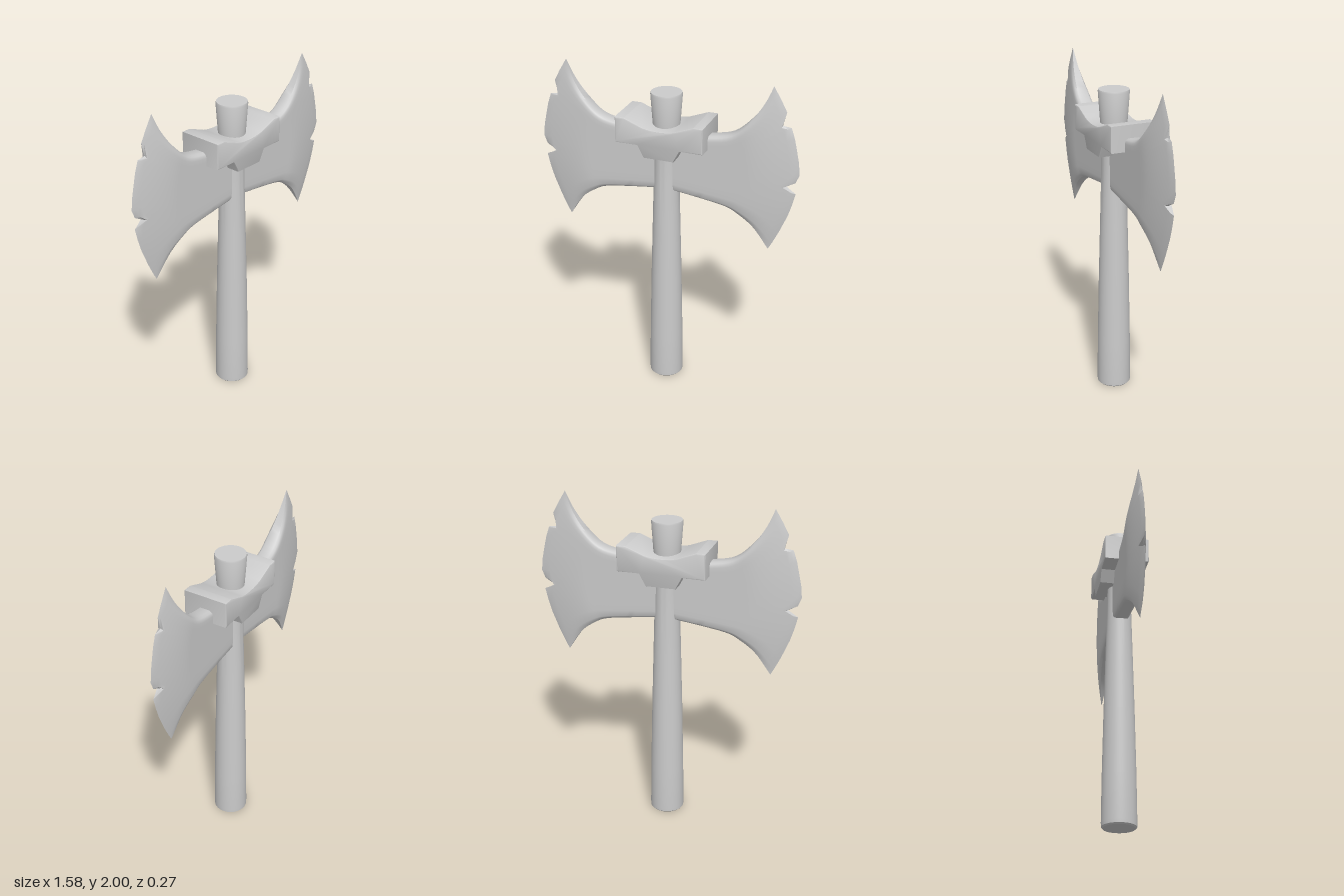
import * as THREE from 'three';
import { toCreasedNormals } from 'three/addons/utils/BufferGeometryUtils.js';

const material = new THREE.MeshStandardMaterial({ color: 0xcccccc, side: THREE.DoubleSide });

function part(name, geometry) {
  const mesh = new THREE.Mesh(geometry, material);
  mesh.name = name;
  return mesh;
}

const curve = (pts) => new THREE.SplineCurve(pts.map(([x, y]) => new THREE.Vector2(x, y)));

// Tapered round shaft, narrowest under the collar and flared at the top
function handleGeometry() {
  const profile = [
    [0, 0], [0.094, 0], [0.102, 0.008], [0.103, 0.03], [0.1, 0.3], [0.092, 0.7], [0.083, 1.05],
    [0.075, 1.35], [0.073, 1.55], [0.079, 1.69], [0.092, 1.875], [0.089, 1.885], [0, 1.885],
  ].map(([r, y]) => new THREE.Vector2(r, y));
  return toCreasedNormals(new THREE.LatheGeometry(profile, 48), 0.6);
}

// Bracket with a dished top and a stepped underside
function collarGeometry() {
  const bevel = 0.008;
  const s = new THREE.Shape();
  s.moveTo(-0.257, 1.598);
  s.lineTo(-0.123, 1.598);
  s.lineTo(-0.085, 1.526);
  s.lineTo(0.085, 1.526);
  s.lineTo(0.123, 1.598);
  s.lineTo(0.257, 1.598);
  s.lineTo(0.257, 1.737);
  s.lineTo(0.21, 1.737);
  s.lineTo(0.1, 1.695);
  s.quadraticCurveTo(0, 1.67, -0.1, 1.695);
  s.lineTo(-0.21, 1.737);
  s.lineTo(-0.257, 1.737);
  s.closePath();
  const depth = 0.27 - 2 * bevel;
  const g = new THREE.ExtrudeGeometry(s, {
    depth, bevelSize: bevel, bevelThickness: bevel, bevelSegments: 2, curveSegments: 8,
  });
  g.translate(0, 0, -depth / 2);
  return toCreasedNormals(g, 0.5);
}

// Blade: closed sections swept from the shaft out to the notched cutting edge
function bladeGeometry() {
  const bottom = curve([[0, 1.3], [0.08, 1.29], [0.22, 1.272], [0.36, 1.25], [0.435, 1.22], [0.54, 1.14], [0.63, 1.005]]);
  const top = curve([[0, 1.66], [0.14, 1.66], [0.27, 1.668], [0.4, 1.7], [0.5, 1.79], [0.57, 1.89], [0.62, 2]]);
  const edge = [
    [0.63, 1.005], [0.641, 1.025], [0.652, 1.045], [0.69, 1.125], [0.735, 1.235], [0.758, 1.31], [0.775, 1.383],
    [0.705, 1.413], [0.77, 1.45], [0.79, 1.5], [0.783, 1.57], [0.768, 1.64], [0.752, 1.71], [0.73, 1.775],
    [0.68, 1.782], [0.70, 1.86], [0.665, 1.925], [0.644, 1.96], [0.632, 1.98], [0.62, 2],
  ];
  const R = 0.84, cx = -0.05, cy = 1.5, columns = 28, ring = 2 * edge.length;
  const positions = [], index = [];

  for (let i = 0; i <= columns; i++) {
    const u = i / columns, b = bottom.getPoint(u), t = top.getPoint(u);
    const row = edge.map(([ex, ey]) => {
      const v = THREE.MathUtils.clamp((ey - 1.005) / 0.995, 0, 1);
      const arcX = cx + Math.sqrt(R * R - (ey - cy) ** 2);
      const chordX = 0.63 - 0.01 * v;
      const x = b.x + (t.x - b.x) * v + (arcX - chordX) * u ** 3 + (ex - arcX) * u ** 10;
      const y = b.y + (t.y - b.y) * v;
      // Full thickness inside, ground to nothing at the edge, rounded at the rims
      const d = THREE.MathUtils.clamp((R - Math.hypot(x - cx, y - cy)) / 0.29, 0, 1);
      const rim = 0.6 + 0.4 * Math.sqrt(Math.min(1, v / 0.05, (1 - v) / 0.05));
      const z = i === columns ? 0 : 0.05 * (1 - (1 - d) ** 1.6) * rim;
      return [x, y, z];
    });
    row.forEach((p) => positions.push(...p));
    row.reverse().forEach(([x, y, z]) => positions.push(x, y, -z));
  }
  for (let i = 0; i < columns; i++) {
    for (let j = 0; j < ring; j++) {
      const k = (j + 1) % ring;
      const a = i * ring + j, b = a + ring, c = (i + 1) * ring + k, d = i * ring + k;
      index.push(a, b, c, a, c, d);
    }
  }
  const g = new THREE.BufferGeometry();
  g.setAttribute('position', new THREE.Float32BufferAttribute(positions, 3));
  g.setIndex(index);
  return toCreasedNormals(g, 0.7);
}

export function createModel() {
  const axe = new THREE.Group();
  axe.name = 'doubleAxe';
  axe.add(part('handle', handleGeometry()), part('collar', collarGeometry()));

  // Two matching blades, one turned half round
  const blade = bladeGeometry();
  const left = part('leftBlade', blade);
  const right = part('rightBlade', blade);
  right.rotation.y = Math.PI;
  axe.add(left, right);
  return axe;
}
